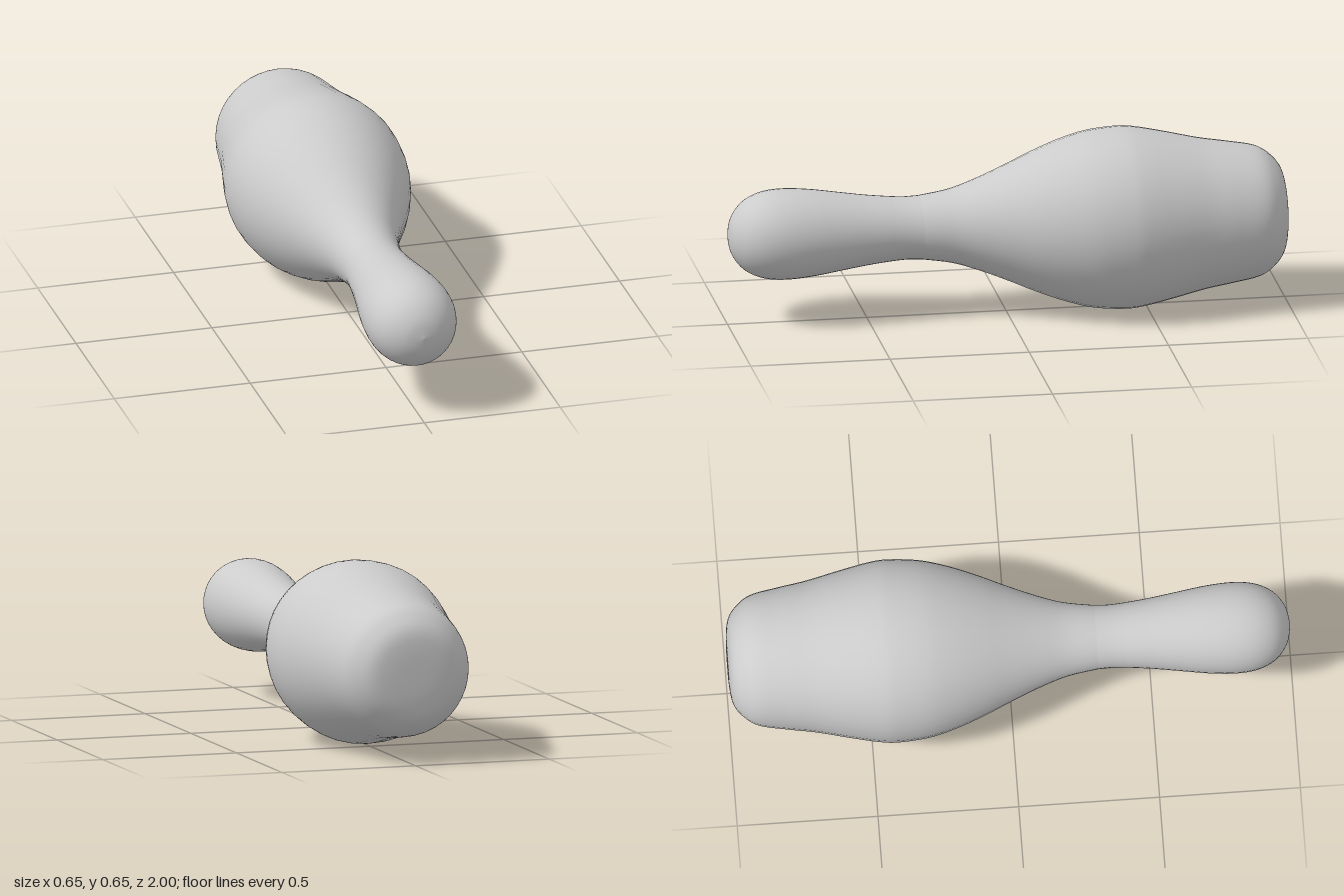
import * as THREE from 'three';

const RADIUS = 0.325; // widest point of the belly

// Smooth surface of revolution along z from [radius, z] points, back to front
function turned(name, profile, steps, material) {
  const curve = new THREE.SplineCurve(profile.map(([r, z]) => new THREE.Vector2(r, z)));
  const points = curve.getPoints(steps);
  points.forEach((p) => { p.x = Math.max(p.x, 0); });
  const geometry = new THREE.LatheGeometry(points, 40);
  geometry.rotateX(Math.PI / 2);
  const mesh = new THREE.Mesh(geometry, material);
  mesh.name = name;
  mesh.position.y = RADIUS;
  return mesh;
}

export function createModel() {
  const model = new THREE.Group();
  model.name = 'pin';
  const material = new THREE.MeshStandardMaterial({ color: 0xcccccc });

  // Rounded flat base, swelling belly and taper towards the neck
  model.add(turned('body', [
    [0, -1], [0.09, -0.998], [0.155, -0.986], [0.2, -0.952], [0.233, -0.9],
    [0.253, -0.8], [0.27, -0.7], [0.298, -0.58], [0.319, -0.48], [0.325, -0.41],
    [0.315, -0.3], [0.288, -0.2], [0.25, -0.1], [0.206, 0], [0.165, 0.1],
    [0.132, 0.2], [0.114, 0.31],
  ], 80, material));

  // Narrow neck band
  model.add(turned('neck', [[0.114, 0.31], [0.112, 0.36], [0.115, 0.41]], 4, material));

  // Round-ended head
  model.add(turned('head', [
    [0.115, 0.41], [0.125, 0.5], [0.14, 0.6], [0.155, 0.7], [0.162, 0.79],
    [0.157, 0.86], [0.139, 0.915], [0.108, 0.957], [0.06, 0.988], [0, 1],
  ], 50, material));

  return model;
}
